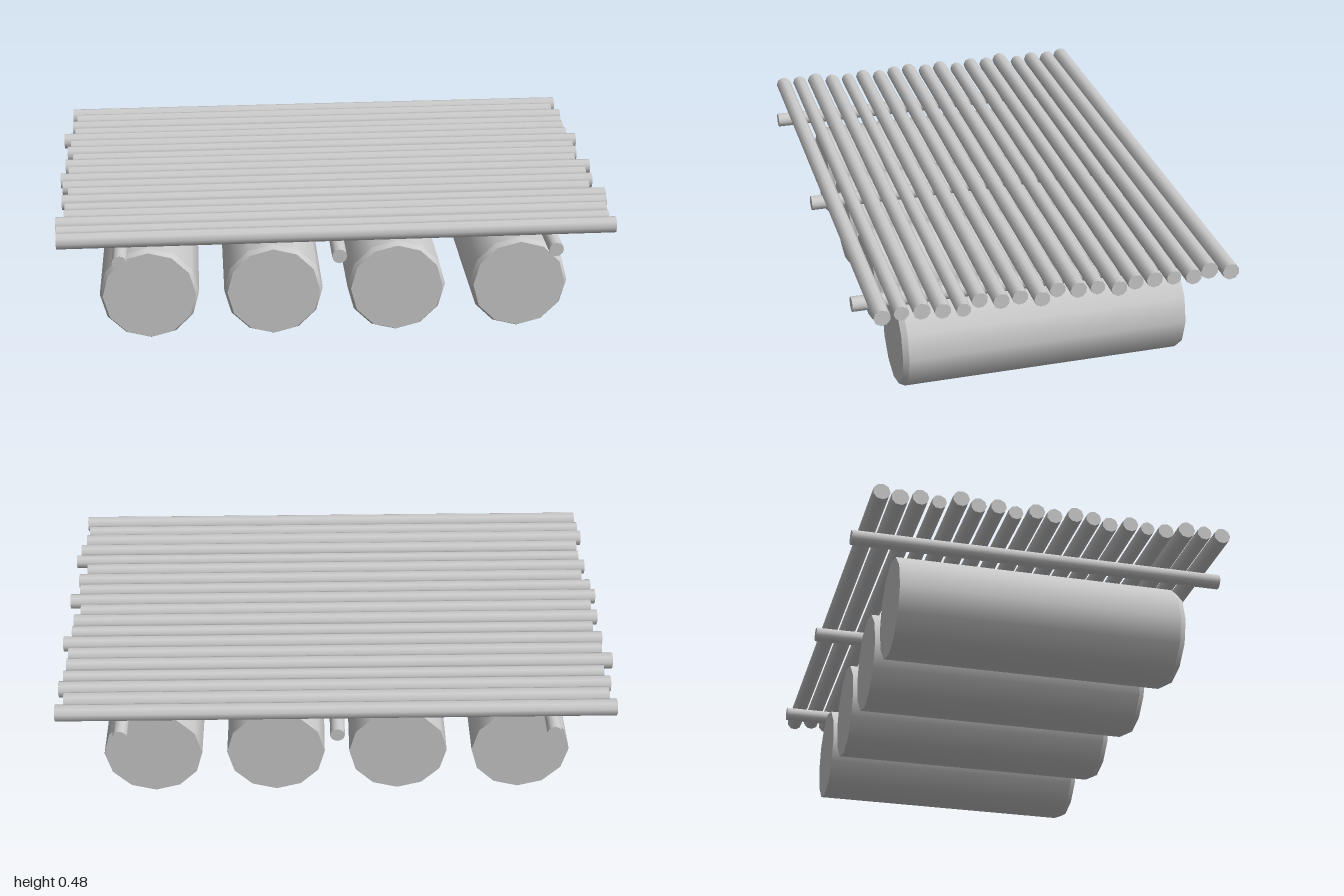
import * as THREE from 'three';

const material = new THREE.MeshStandardMaterial({ color: 0xcccccc });

// A closed log of given length, lying along z or x
function log(name, radius, length, sides, axis) {
  const geometry = new THREE.CylinderGeometry(radius, radius, length, sides);
  if (axis === 'z') geometry.rotateX(Math.PI / 2);
  else geometry.rotateZ(-Math.PI / 2);
  const mesh = new THREE.Mesh(geometry, material);
  mesh.name = name;
  return mesh;
}

// A float log: smooth sides, a small chamfer at the front, flat caps
function floatLog(name) {
  const group = new THREE.Group();
  group.name = name;
  const R = 0.177, r = 0.166, back = -0.507, shoulder = 0.487, front = 0.507, sides = 12;
  const add = (part, geometry, z) => {
    const mesh = new THREE.Mesh(geometry, material);
    mesh.name = part;
    mesh.position.z = z;
    group.add(mesh);
  };
  const tube = (rFront, rBack, length) =>
    new THREE.CylinderGeometry(rFront, rBack, length, sides, 1, true).rotateX(Math.PI / 2);
  // Turned so the cap corners meet the side corners
  const cap = (radius) => new THREE.CircleGeometry(radius, sides);
  add('floatBody', tube(R, R, shoulder - back), (shoulder + back) / 2);
  add('floatChamfer', tube(r, R, front - shoulder), (front + shoulder) / 2);
  add('floatFrontCap', cap(r), front);
  add('floatBackCap', cap(R).rotateY(Math.PI), back);
  return group;
}

export function createModel() {
  const raft = new THREE.Group();
  raft.name = 'raft';

  // Four large floats
  [-0.667, -0.223, 0.22, 0.664].forEach((x, i) => {
    const float = floatLog('float' + (i + 1));
    float.position.set(x, 0.179, 0);
    raft.add(float);
  });

  // Three cross beams resting on the floats
  [-0.76, 0, 0.76].forEach((x, i) => {
    const beam = log('beam' + (i + 1), 0.026, 1.33, 12, 'z');
    beam.position.set(x, 0.385, 0);
    raft.add(beam);
  });

  // Deck poles from back to front: left end, right end, radius
  const poles = [
    [-0.98, 0.985, 0.030], [-0.96, 0.96, 0.031], [-0.975, 0.985, 0.029], [-0.96, 0.975, 0.026],
    [-1.0, 0.97, 0.029], [-0.97, 0.97, 0.028], [-0.98, 0.995, 0.028], [-0.955, 0.97, 0.026],
    [-0.98, 0.97, 0.029], [-0.965, 0.95, 0.028], [-0.99, 0.995, 0.028], [-0.98, 0.965, 0.027],
    [-0.955, 0.975, 0.028], [-0.975, 0.95, 0.028], [-0.96, 0.997, 0.025], [-0.96, 0.985, 0.028],
    [-0.985, 0.97, 0.030], [-0.98, 0.965, 0.026], [-0.975, 0.977, 0.029],
  ];
  const deck = new THREE.Group();
  deck.name = 'deck';
  poles.forEach(([left, right, radius], i) => {
    const pole = log('deckPole' + (i + 1), radius, right - left, 9, 'x');
    pole.position.set((left + right) / 2, 0.447, -0.602 + i * 0.067);
    deck.add(pole);
  });
  raft.add(deck);

  return raft;
}
